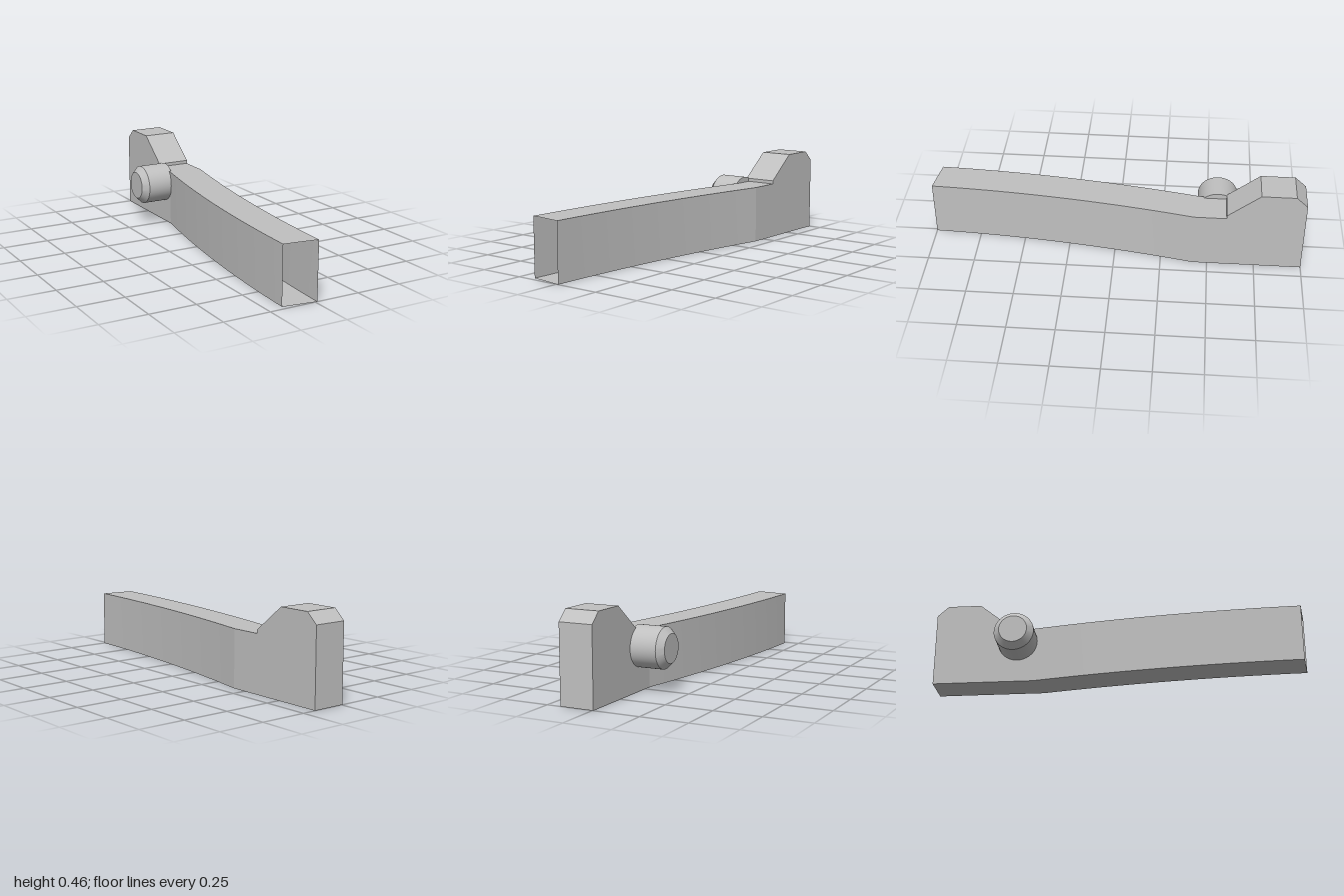
import * as THREE from 'three';
import { toCreasedNormals } from 'three/addons/utils/BufferGeometryUtils.js';

const H = 0.307; // height of the hollow arm

// Skin stretched between two polylines of equal length
function loft(a, b) {
  const pos = [];
  for (let i = 0; i < a.length - 1; i++) {
    pos.push(...a[i], ...b[i], ...b[i + 1], ...a[i], ...b[i + 1], ...a[i + 1]);
  }
  const g = new THREE.BufferGeometry();
  g.setAttribute('position', new THREE.Float32BufferAttribute(pos, 3));
  return toCreasedNormals(g, 0.12);
}

// One side of the arm from the open front end back to the head
function armEdge(x0, zHead, zFront) {
  const n = 20, pts = [];
  for (let i = n; i >= 0; i--) {
    const t = (zFront - zHead) * i / n;
    pts.push([x0 - 0.2 * t + 0.0595 * t * t, H, zHead + t]);
  }
  return pts;
}

// One side of the head along its stepped, sloping top
function headEdge(x, zHead) {
  return [[zHead, H], [-0.59, H], [-0.59, 0.325], [-0.76, 0.46], [-0.94, 0.46], [-1, 0.405]]
    .map(([z, y]) => [x, y, z]);
}

const ground = (pts) => pts.map(([x, , z]) => [x, 0, z]);

export function createModel() {
  const model = new THREE.Group();
  model.name = 'leverArm';
  const grey = new THREE.MeshStandardMaterial({ color: 0xc0c0c0, side: THREE.DoubleSide });
  grey.name = 'grey';

  const add = (parent, name, geometry) => {
    const mesh = new THREE.Mesh(geometry, grey);
    mesh.name = name;
    parent.add(mesh);
    return mesh;
  };

  // Thin-walled section: left is +x, right is -x
  const addShell = (name, right, left) => {
    const shell = new THREE.Group();
    shell.name = name;
    add(shell, name + 'RightWall', loft(ground(right), right));
    add(shell, name + 'LeftWall', loft(left, ground(left)));
    add(shell, name + 'Top', loft(right, left));
    add(shell, name + 'Floor', loft(ground(left), ground(right)));
    model.add(shell);
    return shell;
  };

  // Curved arm, open at the front
  addShell('arm', armEdge(-0.005, -0.455, 0.974), armEdge(0.176, -0.42, 1));

  // Raised head, closed at the back
  const head = addShell('head', headEdge(-0.005, -0.455), headEdge(0.176, -0.42));
  add(head, 'headBack', loft(
    [[-0.005, 0.405, -1], [-0.005, 0, -1]],
    [[0.176, 0.405, -1], [0.176, 0, -1]]
  ));

  // Side pin with a chamfered end
  const profile = [[0.107, 0.005], [0.107, 0.145], [0.075, 0.178], [0, 0.178]]
    .map(([r, y]) => new THREE.Vector2(r, y));
  const pinGeometry = toCreasedNormals(new THREE.LatheGeometry(profile, 48), 0.4);
  pinGeometry.rotateZ(Math.PI / 2);
  add(model, 'pin', pinGeometry).position.set(0, 0.23, -0.545);

  // Inner end of the pin showing above the arm's top
  const a = Math.asin((H - 0.23) / 0.107);
  const segment = new THREE.Shape().absarc(0, 0, 0.107, a, Math.PI - a, false);
  const bumpGeometry = new THREE.ExtrudeGeometry(segment, { depth: 0.013, bevelEnabled: false, curveSegments: 16 });
  bumpGeometry.rotateY(Math.PI / 2);
  add(model, 'pinInnerEnd', toCreasedNormals(bumpGeometry, 0.4)).position.set(-0.005, 0.23, -0.545);

  return model;
}
